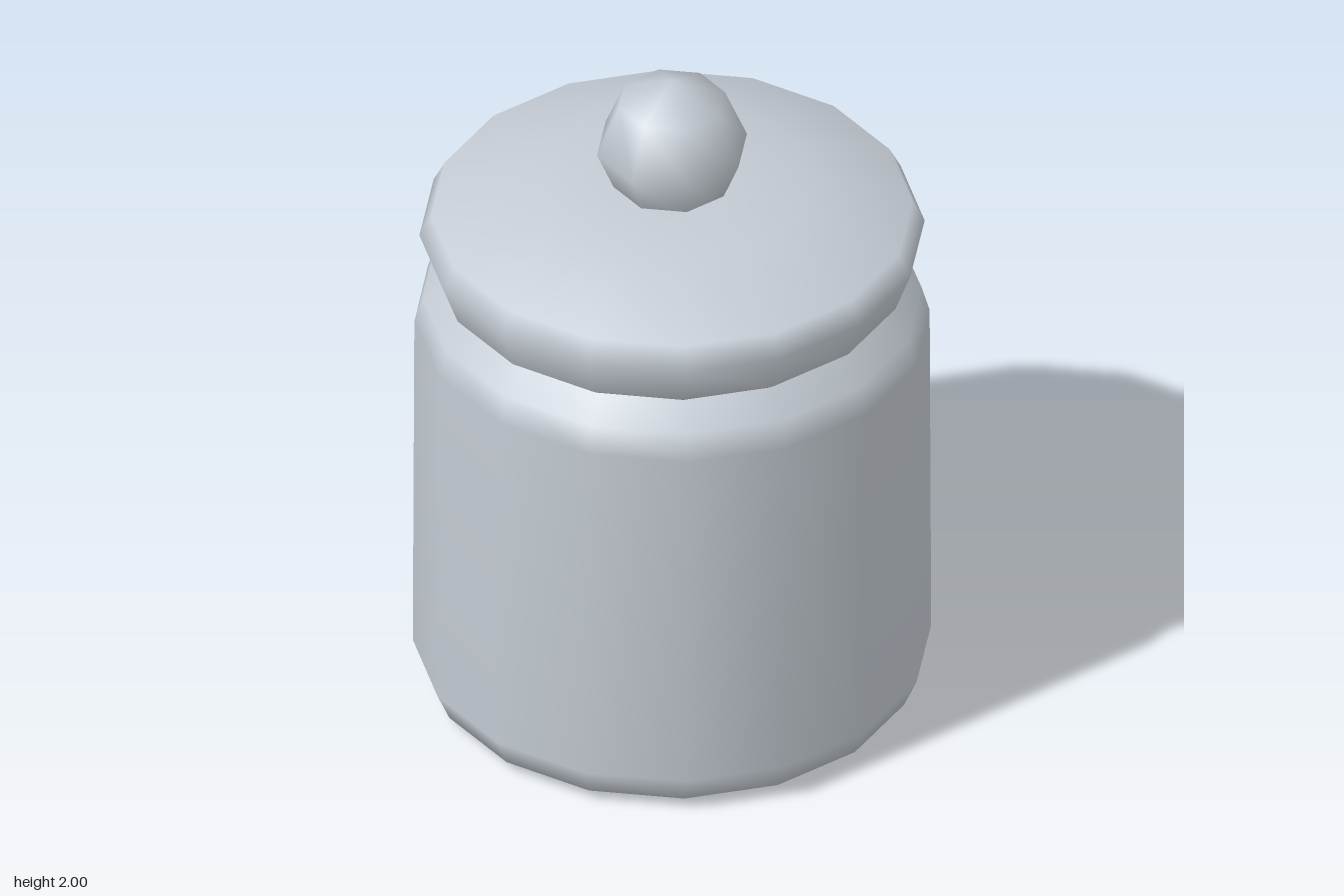
import * as THREE from 'three';

const SIDES = 16;
const STEP = Math.PI / SIDES;

// Sixteen-sided lathe with flats facing the axes; profile is [half width across flats, y], bottom to top
function turned(profile, material, name) {
  const points = profile.map(([w, y]) => new THREE.Vector2(w / Math.cos(STEP), y));
  const mesh = new THREE.Mesh(new THREE.LatheGeometry(points, SIDES, STEP), material);
  mesh.name = name;
  return mesh;
}

export function createModel() {
  const group = new THREE.Group();
  group.name = 'lidded jar';
  const ceramic = new THREE.MeshStandardMaterial({ color: 0xc4cbd3 });
  ceramic.name = 'pale grey ceramic';

  // Jar with rounded foot and shoulder, closed inside the lid
  const jar = turned([
    [0, 0], [0.585, 0.005], [0.675, 0.035], [0.711, 0.12],
    [0.711, 1.2], [0.688, 1.28], [0.59, 1.36], [0.57, 1.4], [0, 1.4],
  ], ceramic, 'jar');
  // The jar narrows slightly from front to back towards its shoulder
  const p = jar.geometry.attributes.position;
  for (let i = 0; i < p.count; i++) {
    const t = THREE.MathUtils.clamp((p.getY(i) - 0.12) / 1.08, 0, 1);
    p.setZ(i, p.getZ(i) * (1 - 0.021 * t));
  }
  jar.geometry.computeBoundingSphere();

  // Lid with an overhanging rim and a shallow dome
  const lid = turned([
    [0, 1.355], [0.62, 1.356], [0.65, 1.38], [0.693, 1.5],
    [0.66, 1.566], [0.385, 1.655], [0.17, 1.668], [0, 1.67],
  ], ceramic, 'lid');

  // Faceted round knob
  const knob = new THREE.Mesh(new THREE.SphereGeometry(0.216, 8, 4), ceramic);
  knob.name = 'knob';
  knob.position.y = 1.784;

  group.add(jar, lid, knob);
  return group;
}
